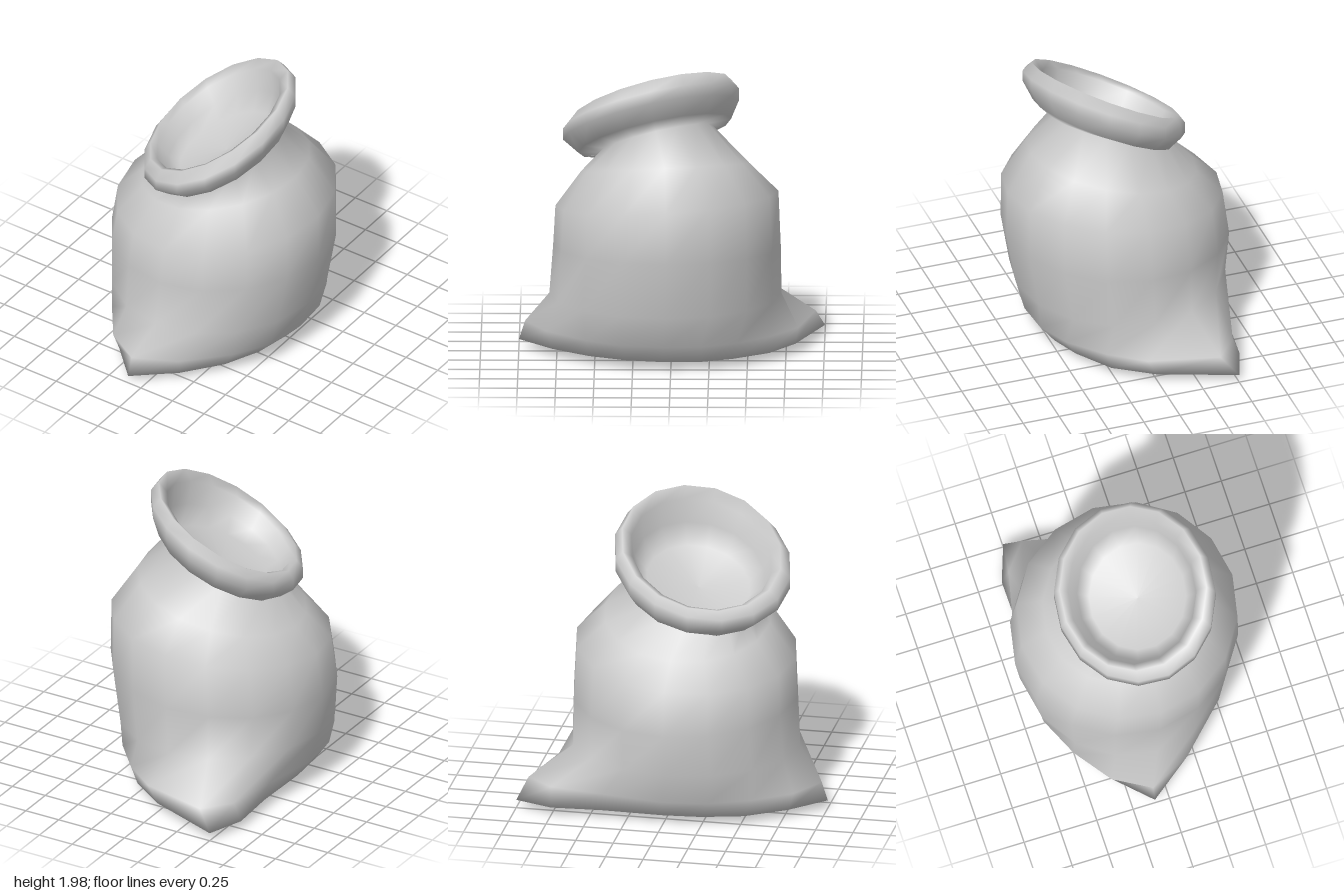
import * as THREE from 'three';

const SIDES = 16;

// Tilted elliptical ring: centre, radii, y slope along x and z, and sideways skew
function ring(cx, cy, cz, rx, rz, slopeX = 0, slopeZ = 0, skew = 0) {
  return Array.from({ length: SIDES }, (_, i) => {
    const t = (i / SIDES) * Math.PI * 2;
    const dx = rx * (Math.cos(t) + skew * Math.sin(t));
    const dz = rz * Math.sin(t);
    return [cx + dx, cy + slopeX * dx + slopeZ * dz, cz + dz];
  });
}

// Flat ring from an outline, scaled about the middle of the base
function outlineRing(outline, y, s = 1) {
  return outline.map(([x, z]) => [-0.05 + (x + 0.05) * s, y, z * s]);
}

// Smooth skin through rings listed from the base, up the outside and down the inside
function loft(rings) {
  const index = [];
  for (let j = 0; j < rings.length - 1; j++) {
    for (let i = 0; i < SIDES; i++) {
      const n = (i + 1) % SIDES;
      const a = j * SIDES + i, b = j * SIDES + n;
      const c = a + SIDES, d = b + SIDES;
      index.push(a, c, b, b, c, d);
    }
  }
  const geometry = new THREE.BufferGeometry();
  geometry.setAttribute('position', new THREE.Float32BufferAttribute(rings.flat(2), 3));
  geometry.setIndex(index);
  geometry.computeVertexNormals();
  return geometry;
}

export function createModel() {
  // Bottom seam with pointed corners at front and back
  const seam = [
    [0.51, 0.05], [0.46, 0.3], [0.35, 0.54], [0.16, 0.78],
    [-0.1, 1], [-0.32, 0.78], [-0.49, 0.52], [-0.56, 0.25],
    [-0.58, 0], [-0.57, -0.42], [-0.59, -0.75], [-0.5, -1],
    [0.01, -0.81], [0.26, -0.64], [0.42, -0.4], [0.5, -0.2],
  ];
  // Fold just above the seam
  const fold = [
    [0.62, 0.05], [0.57, 0.33], [0.43, 0.56], [0.18, 0.82],
    [-0.1, 0.96], [-0.34, 0.82], [-0.52, 0.57], [-0.64, 0.3],
    [-0.67, 0], [-0.6, -0.4], [-0.54, -0.76], [-0.39, -0.94],
    [0.07, -0.83], [0.3, -0.66], [0.5, -0.43], [0.6, -0.2],
  ];

  const rings = [
    // base
    outlineRing(seam, 0, 0),
    outlineRing(seam, 0.005, 0.6),
    outlineRing(seam, 0.055),
    outlineRing(fold, 0.18),
    // belly and shoulders
    ring(-0.02, 0.39, 0.04, 0.7, 0.76),
    ring(0, 0.72, 0.03, 0.75, 0.745, 0.067),
    ring(0.02, 1.04, 0.03, 0.725, 0.73, 0.1, -0.07),
    ring(0.02, 1.25, 0.04, 0.56, 0.55, 0.23, -0.05),
    // neck
    ring(0.02, 1.44, 0.1, 0.39, 0.37, 0.38, -0.25, 0.05),
    // rolled rim
    ring(0.06, 1.47, 0.11, 0.43, 0.5, 0.48, -0.25, 0.1),
    ring(0.04, 1.57, 0.135, 0.505, 0.575, 0.47, -0.25, 0.1),
    ring(0.04, 1.65, 0.135, 0.505, 0.575, 0.47, -0.26, 0.1),
    ring(0.03, 1.71, 0.13, 0.46, 0.52, 0.53, -0.28, 0.1),
    ring(0.025, 1.67, 0.13, 0.405, 0.46, 0.53, -0.28, 0.08),
    // inside of the mouth
    ring(0.06, 1.54, 0.11, 0.375, 0.43, 0.48, -0.25, 0.08),
    ring(0.07, 1.45, 0.1, 0.31, 0.34, 0.42, -0.22, 0.05),
    ring(0.07, 1.42, 0.1, 0, 0),
  ];

  const sack = new THREE.Mesh(
    loft(rings),
    new THREE.MeshStandardMaterial({ color: 0xcccccc })
  );
  sack.name = 'sack';

  const group = new THREE.Group();
  group.name = 'openSack';
  group.add(sack);
  return group;
}
